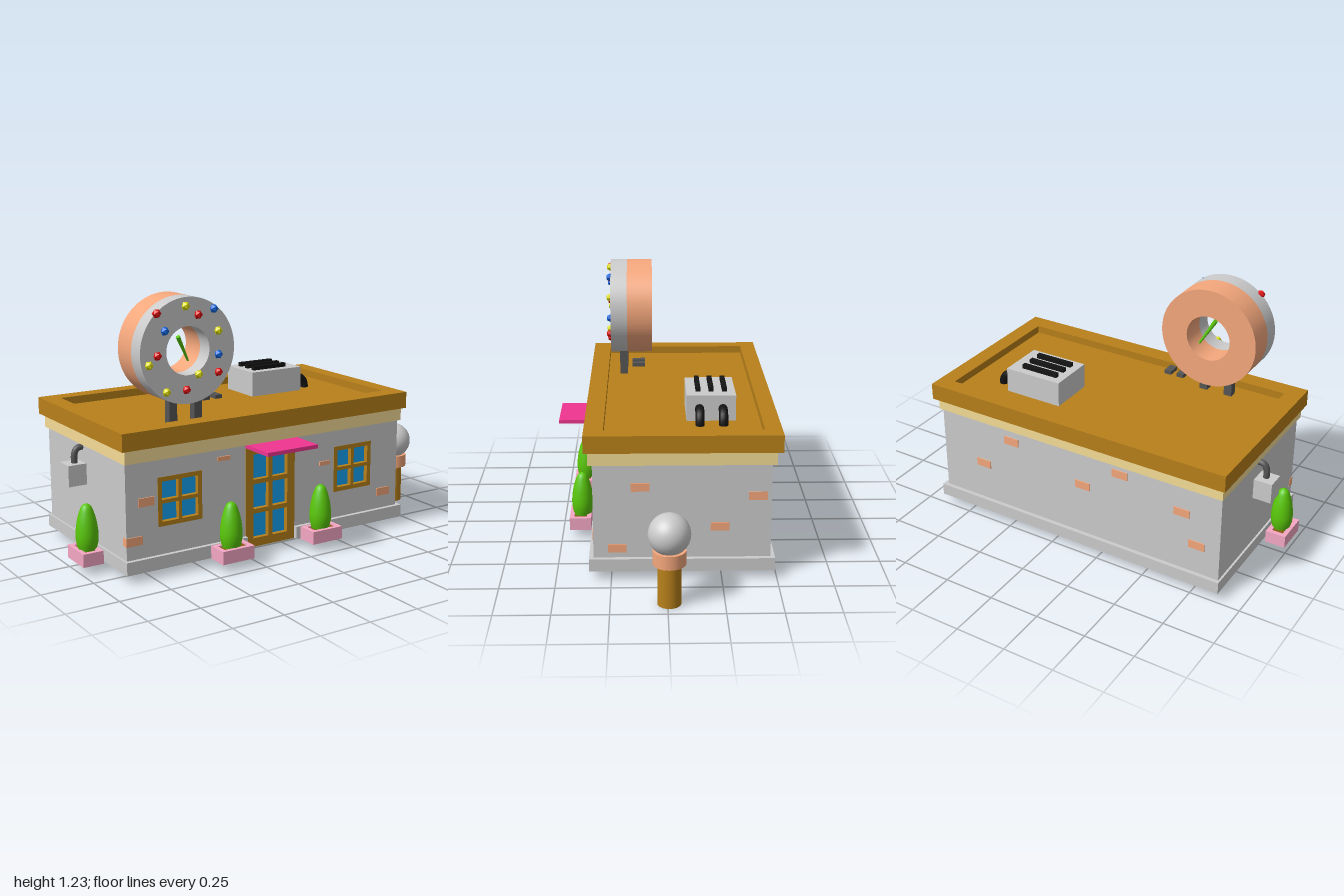
import * as THREE from 'three';

const mat = (color, extra = {}) => new THREE.MeshStandardMaterial({ color, ...extra });
const M = {
  grey: mat(0xcccccc), brown: mat(0xb8801a), cream: mat(0xf5dc96), brick: mat(0xf4a77c),
  pink: mat(0xf5a8c4), magenta: mat(0xf03590), glass: mat(0x14a5f5), green: mat(0x5ac80a),
  dark: mat(0x555555), black: mat(0x141414), soil: mat(0x8a5a14),
  red: mat(0xdd1111, { flatShading: true }), yellow: mat(0xdddd11, { flatShading: true }), blue: mat(0x1166dd, { flatShading: true }),
};

export function createModel() {
  const model = new THREE.Group();

  const add = (name, geometry, material, parent = model) => {
    const mesh = new THREE.Mesh(geometry, material);
    mesh.name = name;
    parent.add(mesh);
    return mesh;
  };
  const group = (name) => {
    const g = new THREE.Group();
    g.name = name;
    model.add(g);
    return g;
  };
  // box given by its bounds
  const box = (name, material, x0, x1, y0, y1, z0, z1, parent) => {
    const m = add(name, new THREE.BoxGeometry(x1 - x0, y1 - y0, z1 - z0), material, parent);
    m.position.set((x0 + x1) / 2, (y0 + y1) / 2, (z0 + z1) / 2);
    return m;
  };
  const points = (list) => list.map(([x, y]) => new THREE.Vector2(x, y));
  const rect = (x0, x1, y0, y1) => points([[x0, y0], [x1, y0], [x1, y1], [x0, y1]]);
  // extruded outline with holes, standing in the xy plane
  const panel = (outline, holes, depth) => {
    const shape = new THREE.Shape(outline);
    shape.holes = holes.map((h) => new THREE.Path([...h].reverse()));
    return new THREE.ExtrudeGeometry(shape, { depth, bevelEnabled: false, curveSegments: 48 });
  };
  // rectangular frame lying flat: outer and inner bounds [x0, x1, z0, z1]
  const rim = (name, material, o, i, y0, y1, parent) => {
    const flat = ([x0, x1, z0, z1]) => rect(x0, x1, -z1, -z0);
    const m = add(name, panel(flat(o), [flat(i)], y1 - y0).rotateX(-Math.PI / 2), material, parent);
    m.position.y = y0;
    return m;
  };

  // Foundation, notched at the door
  box('foundation', M.grey, -0.885, 0.667, 0.04, 0.1, -0.49, 0.28);
  box('foundationFrontRight', M.grey, -0.885, -0.255, 0.04, 0.1, 0.28, 0.35);
  box('foundationFrontLeft', M.grey, 0.02, 0.667, 0.04, 0.1, 0.28, 0.35);

  // Walls: solid core plus a front layer with openings
  box('wallCore', M.grey, -0.875, 0.645, 0.1, 0.55, -0.47, 0.28);
  const windows = [-0.603, 0.365].map((x) => [x - 0.113, x + 0.113, 0.23, 0.457]);
  const door = [-0.255, 0.02, 0.04, 0.53];
  add('frontWall', panel(
    points([[-0.875, 0.1], [-0.255, 0.1], [-0.255, 0.53], [0.02, 0.53], [0.02, 0.1], [0.645, 0.1], [0.645, 0.55], [-0.875, 0.55]]),
    windows.map((w) => rect(...w)), 0.05), M.grey).position.z = 0.28;

  // Framed glazing: a grid of panes with bars between
  const glazing = (name, [x0, x1, y0, y1], rows, edge, bar) => {
    const g = group(name);
    const w = (x1 - x0 - 2 * edge - bar) / 2;
    const h = (y1 - y0 - 2 * edge - bar * (rows - 1)) / rows;
    const holes = [];
    for (let c = 0; c < 2; c++) for (let r = 0; r < rows; r++) {
      const x = x0 + edge + c * (w + bar), y = y0 + edge + r * (h + bar);
      holes.push(rect(x, x + w, y, y + h));
    }
    add('frame', panel(rect(x0, x1, y0, y1), holes, 0.051), M.brown, g).position.z = 0.281;
    box('glass', M.glass, x0 + 0.01, x1 - 0.01, y0 + 0.01, y1 - 0.01, 0.282, 0.308, g);
  };
  windows.forEach((w, i) => glazing(i ? 'leftWindow' : 'rightWindow', w, 2, 0.021, 0.017));
  glazing('door', door, 3, 0.042, 0.022);
  box('awning', M.magenta, -0.257, 0.02, 0.525, 0.543, 0.32, 0.515);

  // Exposed bricks: [centre along wall, centre height, width, height]
  const bricks = group('bricks');
  const t = 0.005;
  [[-0.375, 0.495, 0.07, 0.02], [-0.775, 0.357, 0.08, 0.04], [-0.837, 0.185, 0.08, 0.04], [0.195, 0.386, 0.06, 0.02], [0.56, 0.185, 0.08, 0.04]]
    .forEach(([x, y, w, h]) => box('frontBrick', M.brick, x - w / 2, x + w / 2, y - h / 2, y + h / 2, 0.3, 0.33 + t, bricks));
  [[0.24, 0.475], [0.41, 0.3], [-0.16, 0.365], [-0.36, 0.49], [-0.68, 0.4], [-0.76, 0.25]]
    .forEach(([x, y]) => box('backBrick', M.brick, x - 0.04, x + 0.04, y - 0.02, y + 0.02, -0.47 - t, -0.45, bricks));
  [[0.117, 0.44], [-0.408, 0.396], [-0.24, 0.25], [0.222, 0.145]]
    .forEach(([z, y]) => box('sideBrick', M.brick, 0.63, 0.645 + t, y - 0.02, y + 0.02, z - 0.042, z + 0.042, bricks));

  // Cornice and sunken roof
  box('cornice', M.cream, -0.885, 0.65, 0.543, 0.61, -0.49, 0.35);
  box('roofDeck', M.brown, -0.904, 0.667, 0.606, 0.65, -0.515, 0.368);
  rim('roofRim', M.brown, [-0.904, 0.667, -0.515, 0.368], [-0.82, 0.588, -0.437, 0.28], 0.65, 0.687);

  // Rooftop cooling unit with slats and ducts
  const unit = group('coolingUnit');
  box('unitBody', M.grey, 0.062, 0.355, 0.65, 0.772, -0.325, -0.097, unit);
  for (const z of [-0.275, -0.213, -0.152]) box('slat', M.black, 0.1, 0.293, 0.76, 0.792, z - 0.011, z + 0.011, unit);
  for (const z of [-0.265, -0.157]) {
    const bend = new THREE.QuadraticBezierCurve3(
      new THREE.Vector3(0.34, 0.71, z), new THREE.Vector3(0.425, 0.715, z), new THREE.Vector3(0.42, 0.645, z));
    add('duct', new THREE.TubeGeometry(bend, 10, 0.021, 12), M.black, unit);
  }

  // Ring-shaped rooftop sign on two posts
  const sign = group('ringSign');
  const ringLayer = (name, material, z0, z1) => {
    const shape = new THREE.Shape().absarc(0, 0, 0.24, 0, Math.PI * 2);
    shape.holes.push(new THREE.Path().absarc(0, 0, 0.11, 0, Math.PI * 2, true));
    add(name, new THREE.ExtrudeGeometry(shape, { depth: z1 - z0, bevelEnabled: false, curveSegments: 64 }), material, sign)
      .position.set(-0.515, 0.993, z0);
  };
  ringLayer('ringBack', M.brick, 0.055, 0.182);
  ringLayer('ringFront', M.grey, 0.182, 0.265);
  for (const x of [-0.57, -0.441]) box('signPost', M.dark, x - 0.02, x + 0.02, 0.65, 0.785, 0.181, 0.221, sign);

  // Candy beads on the ring face
  const beads = [
    [M.red, [[-0.671, 1.171], [-0.463, 1.15], [-0.671, 0.984], [-0.527, 0.818], [-0.36, 0.882]]],
    [M.yellow, [[-0.527, 1.193], [-0.36, 1.07], [-0.714, 0.946], [-0.628, 0.818], [-0.463, 0.882]]],
    [M.blue, [[-0.382, 1.171], [-0.633, 1.091], [-0.36, 0.963]]],
  ];
  for (const [m, spots] of beads) for (const [x, y] of spots)
    add('bead', new THREE.IcosahedronGeometry(0.021, 0), m, sign).position.set(x, y, 0.267);

  // Tapered green sliver inside the ring
  const sliver = add('greenSliver', new THREE.CylinderGeometry(0.011, 0.005, 0.14, 8), M.green, sign);
  sliver.position.set(-0.47, 0.98, 0.14);
  sliver.quaternion.setFromUnitVectors(new THREE.Vector3(0, 1, 0), new THREE.Vector3(-0.07, 0.125, 0.03).normalize());

  // Small dark blocks beside the sign
  for (const x of [-0.357, -0.291]) box('roofBlock', M.dark, x - 0.018, x + 0.018, 0.73, 0.748, 0.093, 0.155);

  // Planters with clipped shrubs
  const shrub = new THREE.LatheGeometry(new THREE.SplineCurve(points(
    [[0.038, 0.085], [0.049, 0.125], [0.052, 0.165], [0.046, 0.22], [0.035, 0.265], [0.021, 0.298], [0, 0.311]])).getPoints(24), 28);
  const planter = (x, z, w, d, sx, sz) => {
    const g = group('planter');
    const b = [x - w / 2, x + w / 2, z - d / 2, z + d / 2];
    const e = 0.022;
    rim('pot', M.pink, b, [b[0] + e, b[1] - e, b[2] + e, b[3] - e], 0.04, 0.102, g);
    box('soil', M.soil, b[0] + e, b[1] - e, 0.043, 0.095, b[2] + e, b[3] - e, g);
    add('shrub', shrub, M.green, g).position.set(sx, 0, sz);
  };
  planter(-0.377, 0.411, 0.168, 0.104, -0.38, 0.402);
  planter(0.123, 0.411, 0.168, 0.104, 0.122, 0.402);
  planter(-0.95, 0.068, 0.1, 0.166, -0.941, 0.07);

  // Meter box and bent pipe on the right wall
  box('meterBox', M.grey, -0.965, -0.87, 0.357, 0.457, -0.145, -0.055);
  const pipe = new THREE.CatmullRomCurve3([[-0.915, 0.45], [-0.915, 0.495], [-0.902, 0.522], [-0.86, 0.53]]
    .map(([x, y]) => new THREE.Vector3(x, y, -0.097)));
  add('meterPipe', new THREE.TubeGeometry(pipe, 20, 0.015, 12), M.dark);

  // Globe lamp on a post
  const lamp = group('globeLamp');
  lamp.position.set(0.902, 0, -0.007);
  add('lampPost', new THREE.CylinderGeometry(0.052, 0.052, 0.2, 32), M.brown, lamp).position.y = 0.1;
  add('lampCollar', new THREE.CylinderGeometry(0.073, 0.073, 0.063, 32), M.brick, lamp).position.y = 0.223;
  add('lampGlobe', new THREE.SphereGeometry(0.093, 32, 20), M.grey, lamp).position.y = 0.328;

  return model;
}
